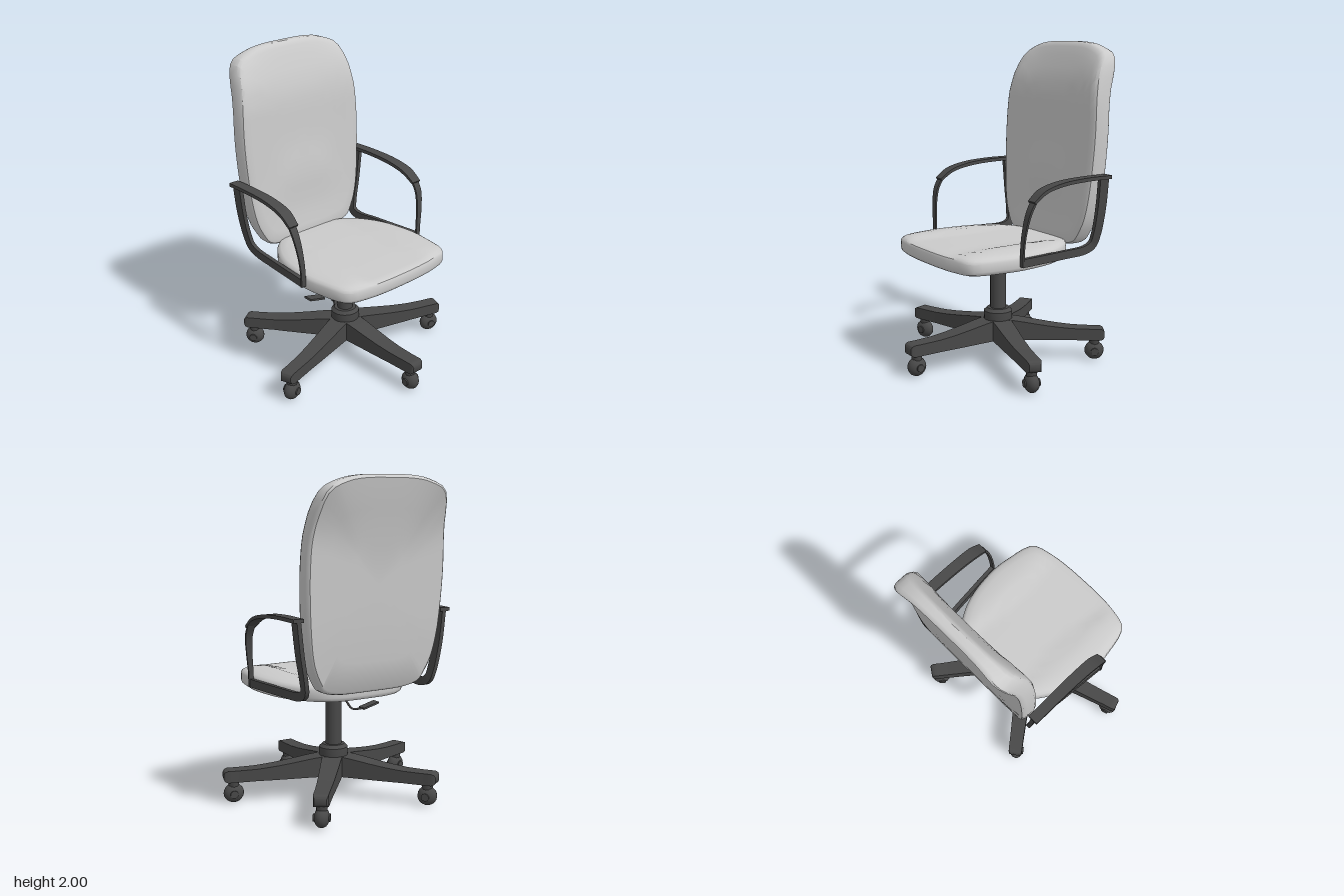
import * as THREE from 'three';
import { toCreasedNormals } from 'three/addons/utils/BufferGeometryUtils.js';

const fabric = new THREE.MeshStandardMaterial({ color: 0xcccccc });
const plastic = new THREE.MeshStandardMaterial({ color: 0x484848 });

function add(parent, name, geometry, material, x = 0, y = 0, z = 0) {
  const mesh = new THREE.Mesh(geometry, material);
  mesh.name = name;
  mesh.position.set(x, y, z);
  parent.add(mesh);
  return mesh;
}

function build(positions, index, crease) {
  const g = new THREE.BufferGeometry();
  g.setAttribute('position', new THREE.Float32BufferAttribute(positions, 3));
  g.setIndex(index);
  return toCreasedNormals(g, crease);
}

// Straight-line interpolation in a table of [key, value] rows
function lookup(table, k) {
  for (let i = 1; i < table.length; i++) {
    const [a, va] = table[i - 1], [b, vb] = table[i];
    if (k <= b) return va + (vb - va) * Math.max(0, (k - a) / (b - a));
  }
  return table[table.length - 1][1];
}

// Cushion: a mirrored outline shrunk into rings over the face, round the rim and over the back
const RINGS = [[0, 1], [0.15, 1], [0.3, 1], [0.45, 1], [0.6, 1], [0.75, 1], [0.87, 1], [0.95, 0.98], [0.985, 0.9],
  [1, 0.75], [1, 0.25], [0.99, 0.08], [0.97, 0], [0.7, 0], [0.35, 0], [0, 0]];

function cushion(half, centre, place) {
  const points = half.map(([u, v]) => new THREE.Vector2(u, v));
  const curve = new THREE.SplineCurve(points);
  const side = curve.getPoints(36);
  const loop = [...side, ...side.slice(1, -1).reverse().map(p => new THREE.Vector2(-p.x, p.y))];
  const n = loop.length, pos = [], idx = [];
  RINGS.forEach(([s, t], r) => loop.forEach((p, j) => {
    pos.push(...place(p.x * s, centre + (p.y - centre) * s, t, s));
    if (r === 0) return;
    const k = (j + 1) % n, a = (r - 1) * n, b = r * n;
    if (s > 0) idx.push(a + j, b + j, b + k);
    if (RINGS[r - 1][0] > 0) idx.push(a + j, b + k, a + k);
  }));
  return build(pos, idx, 0.6);
}

// Rectangular bar through stations [x, y, z, half thickness, half width along z]
function bar(stations, steps) {
  const path = new THREE.CatmullRomCurve3(stations.map(s => new THREE.Vector3(s[0], s[1], s[2])));
  const size = stations.map(s => [s[3], s[4]]);
  const pos = [], idx = [];
  for (let i = 0; i <= steps; i++) {
    const f = i / steps, p = path.getPoint(f), d = path.getTangent(f).setZ(0).normalize();
    const k = f * (size.length - 1), a = Math.min(Math.floor(k), size.length - 2);
    const t = THREE.MathUtils.lerp(size[a][0], size[a + 1][0], k - a);
    const w = THREE.MathUtils.lerp(size[a][1], size[a + 1][1], k - a);
    for (const [n, z] of [[1, 1], [1, -1], [-1, -1], [-1, 1]])
      pos.push(p.x - d.y * t * n, p.y + d.x * t * n, p.z + w * z);
    if (i === 0) continue;
    for (let j = 0; j < 4; j++) {
      const q = (i - 1) * 4, r = i * 4, m = (j + 1) % 4;
      idx.push(q + j, r + j, r + m, q + j, r + m, q + m);
    }
  }
  const e = steps * 4;
  idx.push(0, 1, 2, 0, 2, 3, e, e + 2, e + 1, e, e + 3, e + 2);
  return build(pos, idx, 0.6);
}

function makeSeat() {
  const half = [[0, -0.41], [0.15, -0.405], [0.27, -0.36], [0.37, -0.25], [0.44, -0.1], [0.47, 0.1],
    [0.46, 0.25], [0.415, 0.43], [0.28, 0.48], [0.13, 0.495], [0, 0.497]];
  return cushion(half, 0.04, (z, x, t, s) => {
    // Raised side bolsters with a shallow flat hollow between them
    const hollow = 0.022 * THREE.MathUtils.smoothstep(0.3 - Math.abs(z), 0, 0.09);
    const top = 0.782 + 0.028 * (1 - s ** 4) - hollow * (1 - s ** 6);
    const bottom = 0.69 - 0.014 * (1 - s * s);
    return [x, THREE.MathUtils.lerp(bottom, top, t), z];
  });
}

function makeBackrest() {
  const half = [[0, 0.74], [0.2, 0.742], [0.32, 0.765], [0.37, 0.82], [0.42, 0.93], [0.45, 1.1], [0.467, 1.35],
    [0.467, 1.55], [0.45, 1.73], [0.405, 1.91], [0.29, 1.975], [0.16, 1.997], [0, 2]];
  const front = [[0.74, -0.355], [0.95, -0.375], [1.2, -0.393], [1.4, -0.405], [1.65, -0.42], [1.78, -0.445],
    [1.88, -0.49], [1.95, -0.525], [2, -0.545]];
  const rear = [[0.74, -0.465], [0.9, -0.488], [1.1, -0.508], [1.3, -0.52], [1.6, -0.535], [1.7, -0.55],
    [1.83, -0.6], [1.93, -0.634], [2, -0.622]];
  return cushion(half, 1.37, (u, y, t, s) => {
    // Slightly dished face with a lumbar pad
    const dish = 0.02 * (1 - s ** 4) * (1 - (u / 0.47) ** 2);
    const lumbar = 0.015 * Math.exp(-(((y - 1.17) / 0.15) ** 2) - (u / 0.22) ** 4);
    return [THREE.MathUtils.lerp(lookup(rear, y), lookup(front, y) - dish + lumbar, t), y, -u];
  });
}

function makeArm() {
  const arm = new THREE.Group();
  add(arm, 'armBracket', bar([
    [-0.455, 1.2, 0.505, 0.033, 0.013], [-0.455, 1.0, 0.482, 0.032, 0.013], [-0.448, 0.84, 0.452, 0.03, 0.013],
    [-0.43, 0.775, 0.438, 0.028, 0.013], [-0.375, 0.747, 0.436, 0.026, 0.013],
    [-0.2, 0.743, 0.455, 0.025, 0.013], [0.14, 0.743, 0.488, 0.025, 0.013]], 30), plastic);
  add(arm, 'armrest', bar([
    [-0.49, 1.2, 0.508, 0.011, 0.033], [-0.3, 1.2, 0.508, 0.011, 0.034], [-0.12, 1.187, 0.508, 0.011, 0.036],
    [0.01, 1.155, 0.51, 0.01, 0.038], [0.09, 1.1, 0.514, 0.008, 0.033]], 20), plastic);
  add(arm, 'armStrut', bar([
    [0.07, 1.115, 0.516, 0.007, 0.025], [0.11, 1.04, 0.515, 0.007, 0.023], [0.132, 0.93, 0.503, 0.006, 0.019],
    [0.138, 0.82, 0.492, 0.006, 0.016], [0.138, 0.72, 0.489, 0.006, 0.016]], 20), plastic);
  return arm;
}

function makeLeg() {
  const leg = new THREE.Group();
  add(leg, 'legBeam', bar([
    [0.02, 0.202, 0, 0.068, 0.06], [0.13, 0.196, 0, 0.061, 0.058], [0.24, 0.187, 0, 0.052, 0.054],
    [0.35, 0.179, 0, 0.044, 0.05], [0.46, 0.174, 0, 0.038, 0.046], [0.57, 0.172, 0, 0.037, 0.043],
    [0.635, 0.172, 0, 0.037, 0.043], [0.652, 0.172, 0, 0.03, 0.04], [0.66, 0.172, 0, 0.016, 0.034]], 24), plastic);
  add(leg, 'casterStem', new THREE.CylinderGeometry(0.035, 0.03, 0.05, 10), plastic, 0.6, 0.12, 0);
  const wheel = add(leg, 'casterWheel', new THREE.SphereGeometry(0.06, 14, 10), plastic, 0.6, 0.06, 0);
  wheel.scale.z = 0.75;
  const axle = add(leg, 'casterHub', new THREE.CylinderGeometry(0.024, 0.024, 0.096, 10), plastic, 0.6, 0.06, 0);
  axle.rotation.x = Math.PI / 2;
  return leg;
}

export function createModel() {
  const chair = new THREE.Group();
  chair.name = 'officeChair';
  const cx = -0.03;

  add(chair, 'seat', makeSeat(), fabric);
  add(chair, 'backrest', makeBackrest(), fabric);

  for (const side of [1, -1]) {
    const arm = makeArm();
    arm.name = side > 0 ? 'leftArm' : 'rightArm';
    arm.scale.z = side;
    chair.add(arm);
  }

  // Five-legged base, slightly wider than deep
  const base = new THREE.Group();
  base.name = 'base';
  base.position.x = cx;
  base.scale.z = 1.07;
  for (let i = 0; i < 5; i++) {
    const leg = makeLeg();
    leg.name = 'leg' + (i + 1);
    leg.rotation.y = i * Math.PI * 2 / 5;
    base.add(leg);
  }
  chair.add(base);

  // Hub collar and gas column
  const hub = [[0, 0.14], [0.075, 0.14], [0.09, 0.26], [0.09, 0.315], [0.078, 0.325], [0.07, 0.335], [0, 0.335]];
  const hubShape = new THREE.LatheGeometry(hub.map(p => new THREE.Vector2(...p)), 24);
  add(chair, 'hub', toCreasedNormals(hubShape, 0.5), plastic, cx, 0, 0);
  add(chair, 'column', new THREE.CylinderGeometry(0.05, 0.05, 0.52, 20), plastic, cx, 0.4, 0);

  // Mounting plate with clipped corners
  const plate = new THREE.CylinderGeometry(0.25, 0.25, 0.025, 8).rotateY(Math.PI / 8);
  plate.scale(0.91, 1, 1.04);
  add(chair, 'mountingPlate', toCreasedNormals(plate, 0.5), plastic, cx, 0.667, 0);

  // Height lever with a flat paddle
  const bend = [[0.06, 0.66], [0.115, 0.595], [0.17, 0.525], [0.2, 0.518], [0.27, 0.518]];
  const path = new THREE.CatmullRomCurve3(bend.map(([z, y]) => new THREE.Vector3(0.02, y, z)));
  add(chair, 'leverRod', new THREE.TubeGeometry(path, 20, 0.007, 6), plastic);
  const paddle = add(chair, 'leverPaddle', new THREE.BoxGeometry(0.06, 0.012, 0.12), plastic, 0.025, 0.531, 0.305);
  paddle.rotation.x = -0.25;
  return chair;
}
